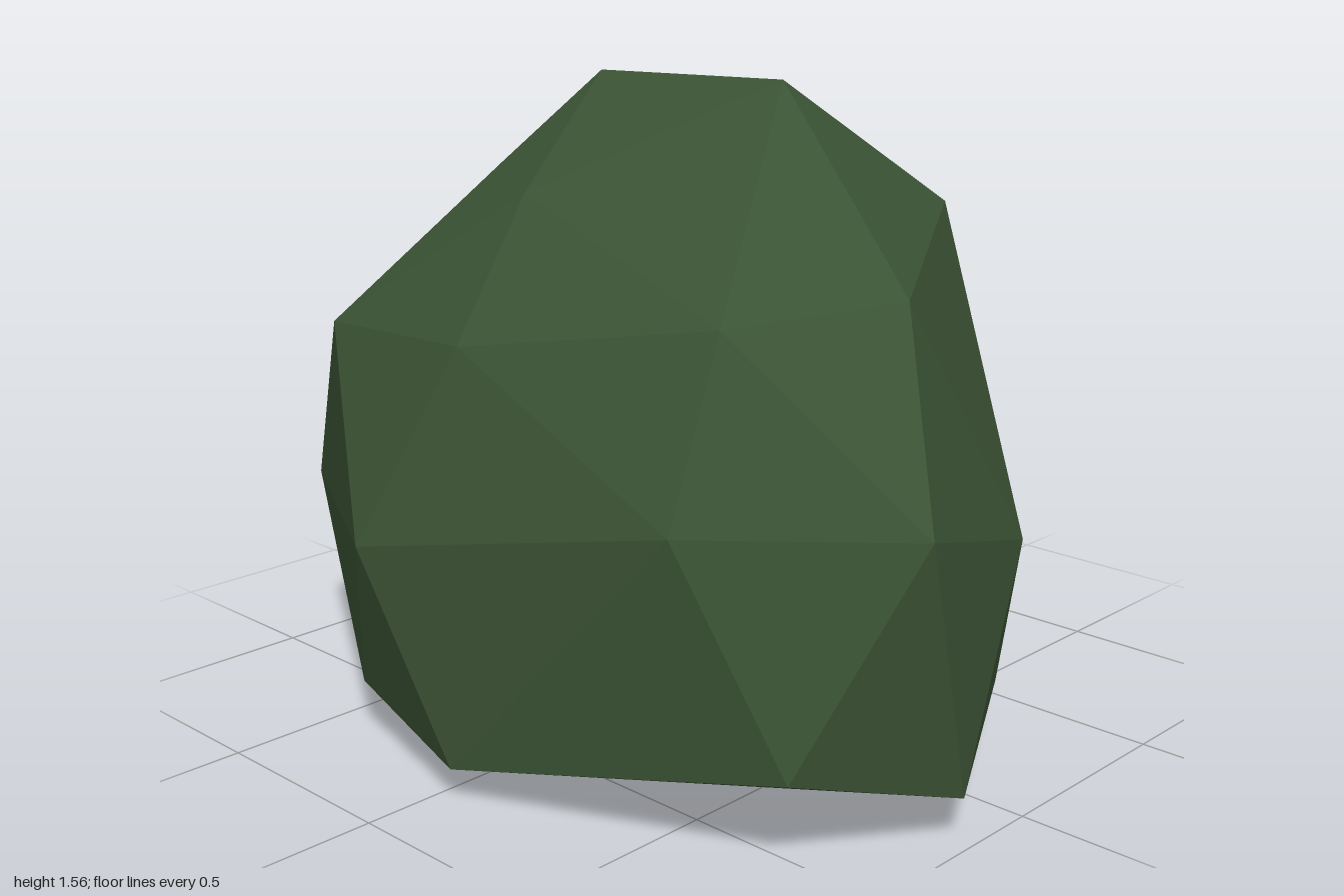
import * as THREE from 'three';
import { ConvexGeometry } from 'three/addons/geometries/ConvexGeometry.js';

// Corner points of the faceted lump, grouped in bands from the top down
const crown = [
  [0.43, 1.56, 0.165], [-0.18, 1.54, 0.11], [-0.55, 1.385, -0.37], [-0.1, 1.38, -0.38],
  [0.52, 1.26, -0.3], [-0.04, 1.305, 0.48], [-0.6, 1.28, 0.06],
];
const shoulder = [
  [0.82, 1.15, 0.22], [0.58, 1.1, 0.52], [-0.02, 1.0, 0.7], [-0.53, 0.97, 0.65],
  [-0.82, 0.97, 0.2], [-0.81, 1.07, -0.15], [-0.78, 1.01, -0.5], [-0.44, 1.12, -0.735],
  [-0.03, 1.05, -0.67],
];
const waist = [
  [1.0, 0.715, 0.355], [0.6, 0.71, 0.69], [-0.21, 0.54, 0.85], [-0.93, 0.47, 0.43],
  [-1.0, 0.52, 0.2], [-0.945, 0.62, -0.2], [-0.68, 0.66, -0.69], [-0.13, 0.67, -0.85],
  [0.395, 0.7, -0.655], [0.86, 0.56, -0.165],
];
const base = [
  [0.985, 0.11, 0.2], [0.83, 0.22, 0.585], [0.06, 0.083, 0.82], [-0.38, 0.13, 0.72],
  [-0.84, 0.145, 0.23], [-0.83, 0.235, -0.19], [-0.61, 0.165, -0.585], [-0.2, 0.22, -0.7],
  [0.7, 0.13, -0.32], [-0.3, 0.065, -0.4], [0.25, 0, -0.165], [0.33, 0.05, 0.4],
];

export function createModel() {
  const group = new THREE.Group();
  group.name = 'boulder';

  const mossGreen = new THREE.MeshStandardMaterial({ color: 0x3c5435 });
  mossGreen.name = 'mossGreen';
  mossGreen.flatShading = true;

  // One closed faceted skin around all the bands
  const points = [...crown, ...shoulder, ...waist, ...base].map((p) => new THREE.Vector3(...p));
  const body = new THREE.Mesh(new ConvexGeometry(points), mossGreen);
  body.name = 'facetedBody';
  group.add(body);
  return group;
}
